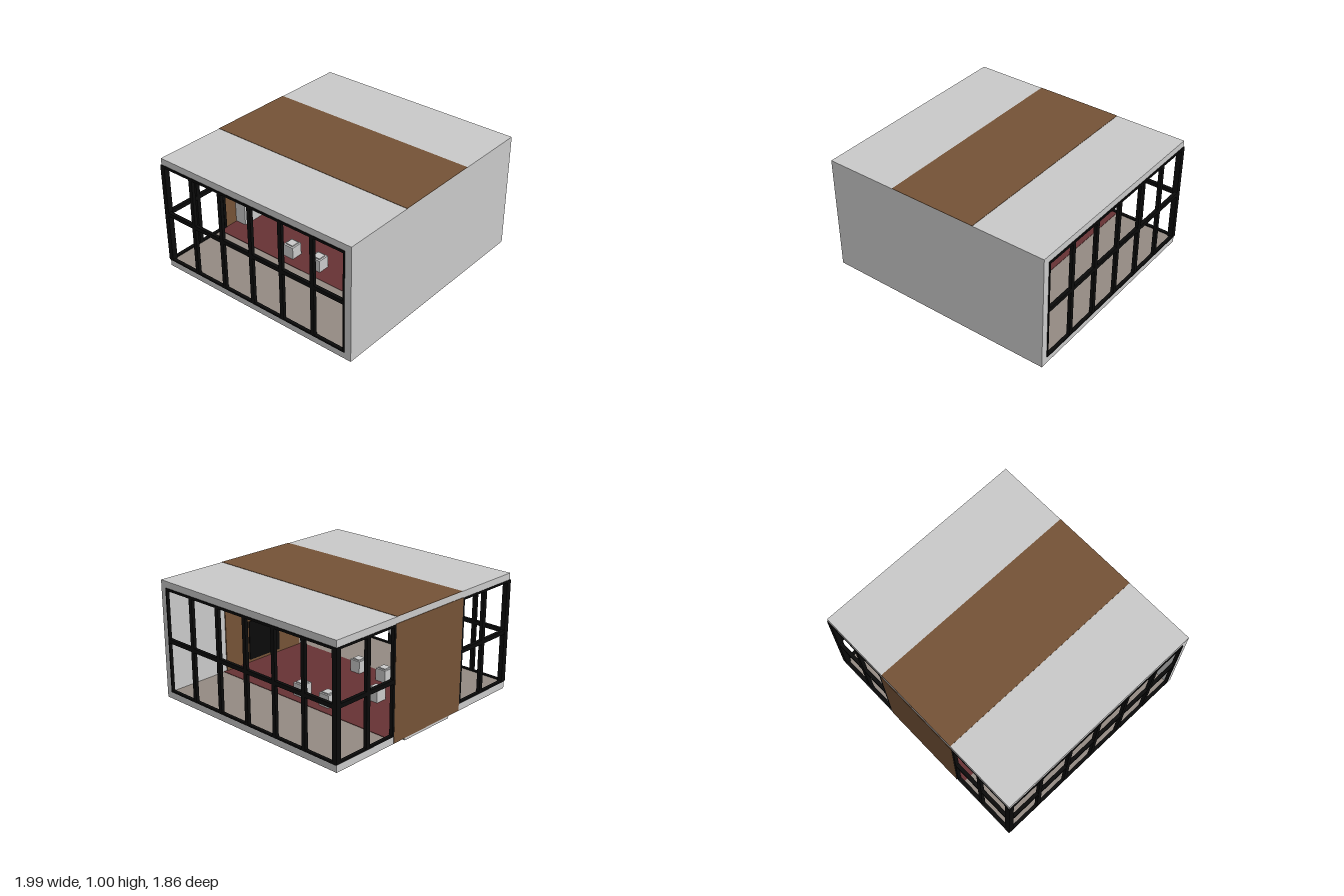
import * as THREE from 'three';
import { toCreasedNormals } from 'three/addons/utils/BufferGeometryUtils.js';

const mat = (name, color) => {
  const m = new THREE.MeshStandardMaterial({ color });
  m.name = name;
  return m;
};

export function createModel() {
  const model = new THREE.Group();
  model.name = 'pavilion';
  const grey = mat('light grey', 0xc9c9c9);
  const wood = mat('brown wood', 0x745236);
  const black = mat('black frame', 0x0b0b0b);
  const red = mat('red carpet', 0x673234);
  const taupe = mat('taupe floor', 0x938a82);

  const add = (name, geometry, material, parent = model) => {
    const m = new THREE.Mesh(geometry, material);
    m.name = name;
    parent.add(m);
    return m;
  };
  // Box given by its limits on each axis
  const box = (name, [x0, x1], [y0, y1], [z0, z1], material, parent) => {
    const m = add(name, new THREE.BoxGeometry(x1 - x0, y1 - y0, z1 - z0), material, parent);
    m.position.set((x0 + x1) / 2, (y0 + y1) / 2, (z0 + z1) / 2);
    return m;
  };

  // Shell: floor, roof and solid front wall
  const X = 0.988, back = -0.922, front = 0.93;
  box('floorSlab', [-X, X], [0.02, 0.078], [back, front], grey);
  box('floorFinish', [-0.97, 0.97], [0.078, 0.081], [-0.9, 0.87], taupe);
  box('floorUnderside', [-X, X], [0.017, 0.02], [back, front], taupe);
  box('carpet', [-0.45, 0.45], [0.081, 0.085], [-0.9, 0.87], red);
  box('roofSlab', [-X, X], [0.942, 1], [back, front], grey);
  box('frontWall', [-X, X], [0.078, 0.942], [0.868, front], grey);

  // Wooden band over the roof, along the ceiling and down both end walls
  box('roofBand', [-0.373, 0.373], [1, 1.003], [back, front], wood);
  box('ceilingBand', [-0.42, 0.42], [0.937, 0.942], [-0.9, 0.868], wood);
  box('frontWallPanel', [-0.42, 0.42], [0.085, 0.937], [0.86, 0.868], wood);
  box('backDoor', [-0.385, 0.385], [0.022, 0.95], [-0.926, -0.905], wood);
  box('screen', [-0.17, 0.17], [0.11, 0.45], [0.851, 0.86], black);

  // Glazing frames on the two sides
  for (const s of [-1, 1]) {
    const frame = new THREE.Group();
    frame.name = s > 0 ? 'leftWindowFrame' : 'rightWindowFrame';
    model.add(frame);
    const xs = s > 0 ? [0.968, 0.996] : [-0.996, -0.968];
    for (const z of [0.58, 0.283, -0.013, -0.31, -0.607]) {
      box('mullion', xs, [0.08, 0.942], [z - 0.017, z + 0.017], black, frame);
    }
    box('frontPost', xs, [0.08, 0.942], [0.862, 0.873], black, frame);
    box('bottomRail', xs, [0.076, 0.09], [-0.92, 0.873], black, frame);
    box('middleRail', xs, [0.497, 0.53], [-0.92, 0.873], black, frame);
    box('topRail', xs, [0.928, 0.946], [-0.92, 0.873], black, frame);

    // Back glazing beside the door
    const zs = [-0.925, -0.895];
    const span = (a, b) => (s > 0 ? [a, b] : [-b, -a]);
    box('cornerPost', span(0.95, 0.996), [0.078, 0.944], [-0.927, -0.885], black, frame);
    box('backMullion', span(0.65, 0.685), [0.08, 0.942], zs, black, frame);
    box('doorPost', span(0.38, 0.405), [0.08, 0.942], zs, black, frame);
    box('backBottomRail', span(0.38, 0.98), [0.076, 0.09], zs, black, frame);
    box('backMiddleRail', span(0.38, 0.98), [0.497, 0.53], zs, black, frame);
    box('backTopRail', span(0.38, 0.98), [0.928, 0.946], zs, black, frame);
  }

  // Curved panel sweeping from the ceiling down behind the door
  const profile = new THREE.Shape();
  profile.moveTo(-0.923, 0);
  profile.lineTo(-0.8, 0);
  profile.lineTo(-0.8, 0.67);
  profile.bezierCurveTo(-0.8, 0.79, -0.72, 0.875, -0.6, 0.875);
  profile.lineTo(-0.45, 0.875);
  profile.bezierCurveTo(-0.28, 0.875, -0.12, 0.925, 0.12, 0.937);
  profile.lineTo(-0.923, 0.937);
  profile.closePath();
  const sweep = new THREE.ExtrudeGeometry(profile, { depth: 0.52, bevelEnabled: false, curveSegments: 16 });
  sweep.rotateY(-Math.PI / 2).translate(0.26, 0, 0);
  add('curvedPanel', toCreasedNormals(sweep, 0.5), grey);

  // Nested U-shaped ceiling slats, open towards the back
  const slats = new THREE.Group();
  slats.name = 'ceilingSlats';
  model.add(slats);
  for (let i = 0; i < 5; i++) {
    const w = 0.94 - i * 0.11, f = 0.82 - i * 0.13, r = 0.27, t = 0.05, b = -0.89;
    const u = new THREE.Shape();
    u.moveTo(-w, b);
    u.lineTo(-w, f - r);
    u.absarc(-w + r, f - r, r, Math.PI, Math.PI / 2, true);
    u.lineTo(w - r, f);
    u.absarc(w - r, f - r, r, Math.PI / 2, 0, true);
    u.lineTo(w, b);
    u.lineTo(w - t, b);
    u.lineTo(w - t, f - r);
    u.absarc(w - r, f - r, r - t, 0, Math.PI / 2, false);
    u.lineTo(-w + r, f - t);
    u.absarc(-w + r, f - r, r - t, Math.PI / 2, Math.PI, false);
    u.lineTo(-w + t, b);
    u.closePath();
    const g = new THREE.ExtrudeGeometry(u, { depth: 0.03, bevelEnabled: false, curveSegments: 12 });
    g.rotateX(Math.PI / 2).translate(0, 0.942, 0);
    add('slat', toCreasedNormals(g, 0.5), grey, slats);
  }

  // Stools with a slightly inset seat
  for (const [x, z] of [[-0.33, -0.21], [0.33, -0.21], [-0.33, 0.07], [0.33, 0.07], [0, -0.415]]) {
    const stool = new THREE.Group();
    stool.name = 'stool';
    stool.position.set(x, 0, z);
    model.add(stool);
    box('stoolBody', [-0.05, 0.05], [0.083, 0.19], [-0.05, 0.05], grey, stool);
    box('stoolSeat', [-0.035, 0.035], [0.19, 0.2], [-0.035, 0.035], grey, stool);
  }
  return model;
}
